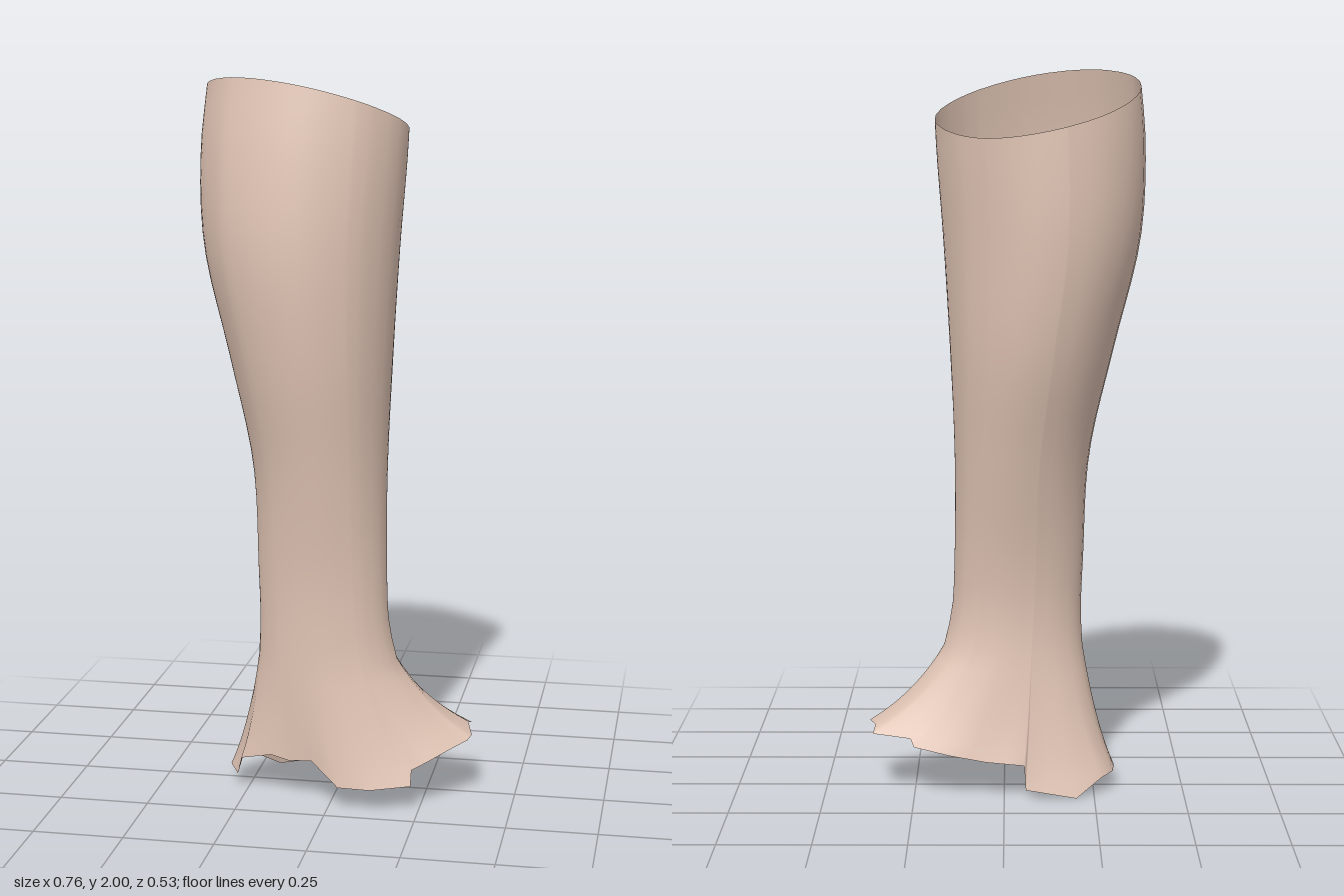
import * as THREE from 'three';

// Leg cross-sections: height, x min, x max, z min, z max, flattening at the inner back
const sections = [
  [0.40, -0.22, 0.17, -0.07, 0.17, 0],
  [0.50, -0.215, 0.148, -0.065, 0.17, 0],
  [0.65, -0.22, 0.14, -0.08, 0.175, 0],
  [0.95, -0.235, 0.14, -0.15, 0.21, 0.04],
  [1.25, -0.30, 0.155, -0.23, 0.255, 0.1],
  [1.55, -0.37, 0.175, -0.267, 0.27, 0.14],
  [1.80, -0.38, 0.193, -0.267, 0.245, 0.14],
  [2.00, -0.362, 0.20, -0.258, 0.205, 0.14],
];
const profile = new THREE.CubicInterpolant(
  sections.map((s) => s[0]), sections.flatMap((s) => s.slice(1)), 5, new Float32Array(5));

// Ragged lower rim, from the toe side round the front, heel and back
const rim = [
  [0.38, 0.185, 0.03], [0.37, 0.175, 0.05], [0.33, 0.165, 0.1], [0.27, 0.14, 0.15],
  [0.23, 0.12, 0.165], [0.23, 0.08, 0.185], [0.12, 0.07, 0.21], [0.03, 0.07, 0.205],
  [-0.05, 0.13, 0.17], [-0.12, 0.12, 0.15], [-0.17, 0.13, 0.14], [-0.265, 0.10, 0.10],
  [-0.28, 0.045, 0.08], [-0.31, 0.055, 0.03], [-0.305, 0.055, -0.03], [-0.27, 0.05, -0.08],
  [-0.20, 0.005, -0.125], [-0.06, 0.03, -0.13], [-0.055, 0.10, -0.13], [0.05, 0.11, -0.13],
  [0.15, 0.13, -0.135], [0.25, 0.15, -0.12], [0.26, 0.17, -0.105], [0.365, 0.18, -0.09],
  [0.36, 0.195, -0.05],
].map((p) => new THREE.Vector3(...p));

// Point on the leg at a given angle and height
function legPoint(a, y) {
  const [x0, x1, z0, z1, flat] = profile.evaluate(y);
  const r = 1 - flat * Math.max(0, Math.cos(a + Math.PI / 4)) ** 4;
  return new THREE.Vector3(
    (x0 + x1) / 2 + r * Math.cos(a) * (x1 - x0) / 2, y,
    (z0 + z1) / 2 + r * Math.sin(a) * (z1 - z0) / 2);
}

// One column of points from the lower rim up to the slanted top opening
function column(end) {
  const a = Math.atan2((end.z - 0.04) / 0.17, (end.x - 0.035) / 0.345);
  const ankle = legPoint(a, 0.4);
  const bend = ankle.clone().lerp(end, 0.4);
  bend.y = THREE.MathUtils.lerp(ankle.y, end.y, 0.65);
  const flare = new THREE.QuadraticBezierCurve3(end, bend, ankle).getPoints(7);
  const top = 1.91 + 0.075 * Math.sin(a) - 0.05 * Math.cos(a);
  for (let i = 1; i <= 24; i++) flare.push(legPoint(a, 0.4 + (top - 0.4) * i / 24));
  return flare;
}

export function createModel() {
  const group = new THREE.Group();
  group.name = 'leg';

  // Rim corners and the midpoints between them give the columns
  const columns = rim.flatMap((p, i) => [
    column(p), column(p.clone().lerp(rim[(i + 1) % rim.length], 0.5))]);
  const rows = columns[0].length;
  const index = [];
  columns.forEach((_, c) => {
    const a = c * rows, b = ((c + 1) % columns.length) * rows;
    for (let r = 0; r < rows - 1; r++) {
      index.push(a + r, a + r + 1, b + r, b + r, a + r + 1, b + r + 1);
    }
  });
  const geometry = new THREE.BufferGeometry().setFromPoints(columns.flat());
  geometry.setIndex(index);
  geometry.computeVertexNormals();

  // Thin open shell: calf, ankle and the flared start of the foot
  const shell = new THREE.Mesh(geometry,
    new THREE.MeshStandardMaterial({ color: 0xe0c4b4, side: THREE.DoubleSide }));
  shell.name = 'legShell';
  group.add(shell);
  return group;
}
